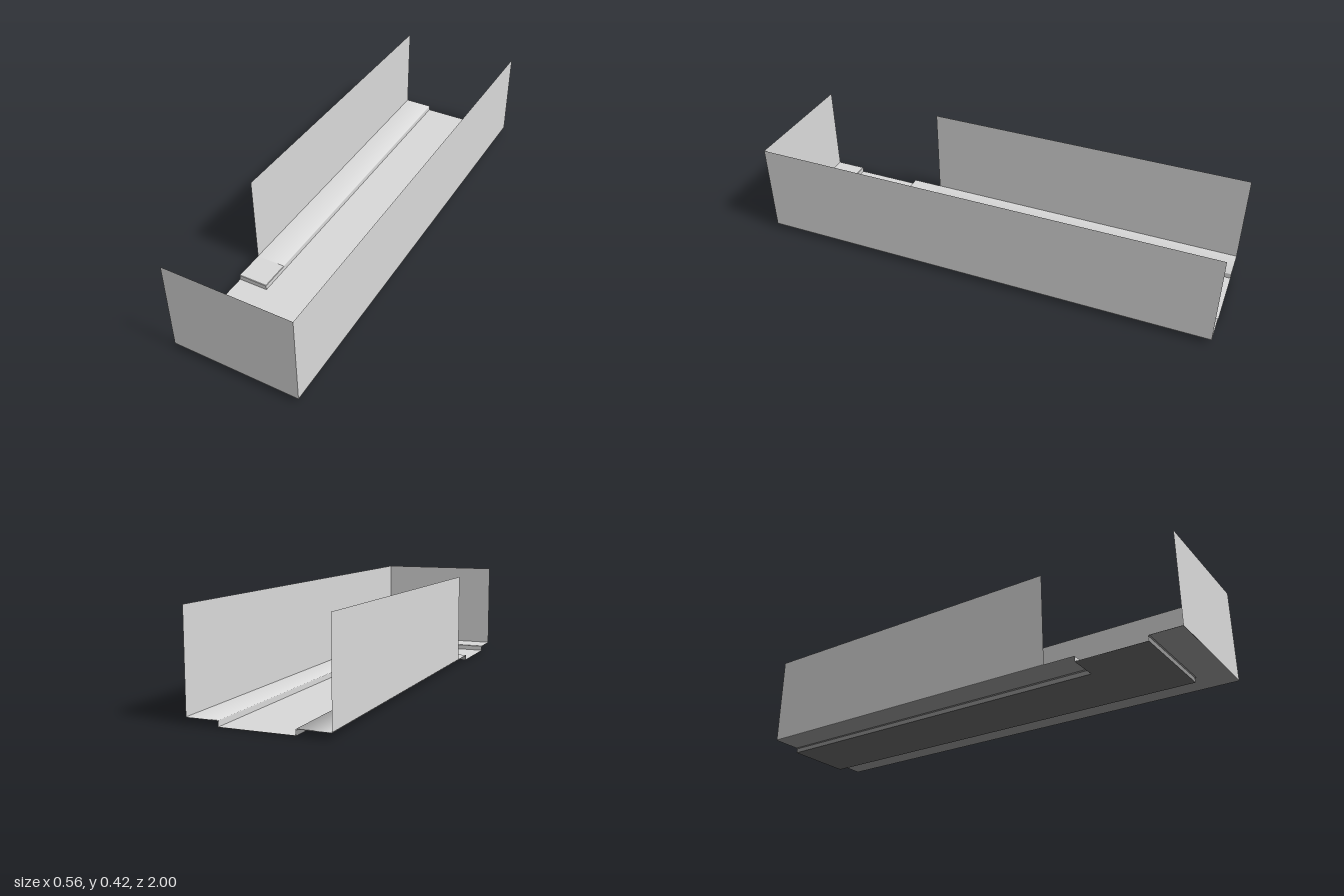
import * as THREE from 'three';

const HALF = 0.278;   // half width of the block
const ROAD = 0.147;   // half width of the road
const SPLIT = 0.438;  // where the short wall ends
const WALK = 0.0245;  // pavement height
const TOP = 0.4175;   // wall height
const SKIN = 0.002;   // thickness of road and pavement

export function createModel() {
  const group = new THREE.Group();
  const makeMaterial = (name, color) => {
    const material = new THREE.MeshStandardMaterial({ color, side: THREE.DoubleSide });
    material.name = name;
    return material;
  };
  const lightGrey = makeMaterial('light grey', 0xd9d9d9);
  const midGrey = makeMaterial('mid grey', 0x94948f);
  const darkGrey = makeMaterial('dark grey', 0x646464);
  midGrey.color.set(0x949494);

  const add = (geometry, material, name) => {
    const mesh = new THREE.Mesh(geometry, material);
    mesh.name = name;
    group.add(mesh);
    return mesh;
  };

  // Thin upright walls around the street
  const wall = (name, length, x, z, turn) => {
    const mesh = add(new THREE.PlaneGeometry(length, TOP - WALK), lightGrey, name);
    mesh.position.set(x, (TOP + WALK) / 2, z);
    mesh.rotation.y = turn;
  };
  wall('longWall', 2, HALF, 0, Math.PI / 2);
  wall('shortWall', 1 + SPLIT, -HALF, (SPLIT - 1) / 2, -Math.PI / 2);
  wall('frontWall', 2 * HALF, 0, 1, 0);

  // Road bed with a side street, drawn in x and -z, widened by a margin
  const roadBed = (margin) => {
    const w = ROAD + margin, near = -0.573 + margin, far = -0.867 - margin;
    const shape = new THREE.Shape([
      [-w, 1], [-w, near], [-HALF, near], [-HALF, far], [w, far], [w, 1],
    ].map(([x, y]) => new THREE.Vector2(x, y)));
    return new THREE.ShapeGeometry(shape).rotateX(-Math.PI / 2);
  };
  add(roadBed(0).translate(0, SKIN, 0), lightGrey, 'road');
  const underside = roadBed(SKIN).rotateX(Math.PI).scale(1, 1, -1);
  underside.index.array.reverse();
  underside.computeVertexNormals();
  // Keep the lower face pointing down
  if (underside.attributes.normal.getY(0) > 0) {
    underside.index.array.reverse();
    underside.computeVertexNormals();
  }
  add(underside, darkGrey, 'roadUnderside');

  // Kerb face, bevelled lip and pavement, lofted from the road edge to the wall.
  // Each path point: [edge x, edge z, lip direction x, lip direction z, wall x, wall z]
  // Each level: [offset from the road edge, height]
  const up = new THREE.Vector3(0, 1, 0);
  const loft = (path, levels, softSegment, down) => {
    const rows = levels.map(([offset, y]) =>
      path.map(([x, z, dx, dz]) => new THREE.Vector3(x + dx * offset, y, z + dz * offset)));
    rows.push(path.map((p) => new THREE.Vector3(p[4], levels[2][1], p[5])));
    const positions = [], normals = [];
    for (let j = 0; j < path.length - 1; j++) {
      const side = rows[0][j + 1].clone().sub(rows[0][j]).normalize().cross(up);
      const tilt = side.clone().add(up).normalize();
      const soft = [side, side, tilt, up];
      const flat = [side, tilt, up];
      for (let i = 0; i < 3; i++) {
        const a = rows[i][j], b = rows[i][j + 1], c = rows[i + 1][j + 1], d = rows[i + 1][j];
        const low = j === softSegment ? soft[i] : flat[i];
        const high = j === softSegment ? soft[i + 1] : flat[i];
        const corners = [[a, low], [b, low], [c, high], [a, low], [c, high], [d, high]];
        if (down) corners.reverse();
        for (const [p, n] of corners) {
          const s = down ? -1 : 1;
          positions.push(p.x, p.y, p.z);
          normals.push(n.x * s, n.y * s, n.z * s);
        }
      }
    }
    const geometry = new THREE.BufferGeometry();
    geometry.setAttribute('position', new THREE.Float32BufferAttribute(positions, 3));
    geometry.setAttribute('normal', new THREE.Float32BufferAttribute(normals, 3));
    return geometry;
  };

  const upper = [[0, SKIN], [0, WALK - 0.002], [0.002, WALK]];
  const lower = [[SKIN, 0], [SKIN, 0.019], [0.006, WALK - SKIN]];
  const pavement = (name, path, softSegment) => {
    add(loft(path, upper, softSegment, false), lightGrey, name);
    add(loft(path, lower, -1, true), midGrey, name + 'Underside');
  };

  pavement('cornerPavement', [
    [ROAD, -1, 1, 0, HALF, -1],
    [ROAD, SPLIT, 1, 0, HALF, SPLIT],
    [ROAD, 0.867, 1, 1, HALF, 1],
    [-HALF, 0.867, 0, 1, -HALF, 1],
  ], 0);
  pavement('sidePavement', [
    [-HALF, 0.573, 0, -1, -HALF, SPLIT],
    [-ROAD, 0.573, -1, -1, -HALF, SPLIT],
    [-ROAD, SPLIT, -1, 0, -HALF, SPLIT],
    [-ROAD, -1, -1, 0, -HALF, -1],
  ], 2);

  return group;
}
